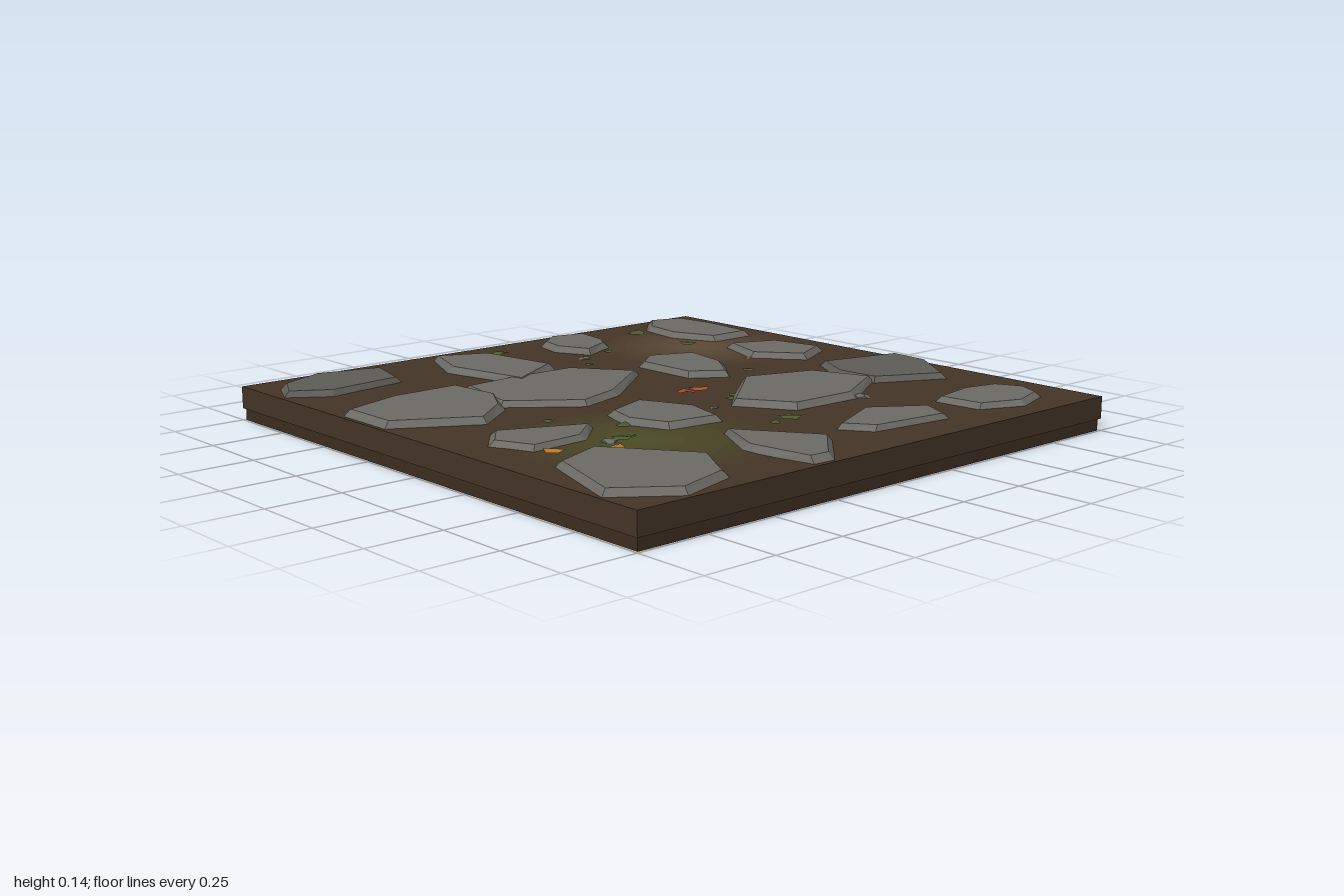
import * as THREE from 'three';

const GROUND = 0.114;

const material = (color, side = THREE.FrontSide) =>
  new THREE.MeshStandardMaterial({ color, side, flatShading: true });

function add(group, name, geometry, mat, x = 0, y = 0, z = 0) {
  const mesh = new THREE.Mesh(geometry, mat);
  mesh.name = name;
  mesh.position.set(x, y, z);
  group.add(mesh);
  return mesh;
}

function fromTriangles(points) {
  const g = new THREE.BufferGeometry();
  g.setAttribute('position', new THREE.Float32BufferAttribute(points.flat(), 3));
  g.computeVertexNormals();
  return g;
}

// Flat-topped stone with a sloping rim; outline is x, z pairs, clockwise from above
function stoneGeometry(outline, top, inset = 0.026) {
  const pts = [];
  for (let i = 0; i < outline.length; i += 2) pts.unshift([outline[i], outline[i + 1]]);
  const n = pts.length;
  const cx = pts.reduce((s, p) => s + p[0], 0) / n;
  const cz = pts.reduce((s, p) => s + p[1], 0) / n;
  const foot = pts.map(([x, z]) => [x, GROUND - 0.004, z]);
  const rim = pts.map(([x, z]) => {
    const k = 1 - inset / Math.hypot(x - cx, z - cz);
    return [cx + (x - cx) * k, top, cz + (z - cz) * k];
  });
  const tris = [];
  for (let i = 0; i < n; i++) {
    const j = (i + 1) % n;
    tris.push(foot[i], foot[j], rim[j], foot[i], rim[j], rim[i]);
    tris.push([cx, top, cz], rim[i], rim[j]);
  }
  return fromTriangles(tris);
}

// Concentric rings that fade from a patch colour into the soil
function addPatch(group, name, x, z, radius, color, soil) {
  const steps = 10;
  for (let i = 0; i < steps; i++) {
    const ring = new THREE.RingGeometry(radius * i / steps, radius * (i + 1) / steps, 32);
    ring.rotateX(-Math.PI / 2);
    const fade = (i + 0.5) / steps;
    const shade = new THREE.Color(color).lerp(new THREE.Color(soil), fade);
    add(group, name, ring, material(shade), x, GROUND + 0.0006, z);
  }
}

export function createModel() {
  const model = new THREE.Group();
  model.name = 'stonePavingTile';
  const soil = 0x443426;

  // Soil slab on a slightly inset base
  add(model, 'soilSlab', new THREE.BoxGeometry(2, GROUND - 0.04, 2), material(soil), 0, (GROUND + 0.04) / 2, 0);
  add(model, 'slabBase', new THREE.BoxGeometry(1.985, 0.04, 1.985), material(0x3c2e21), 0, 0.02, 0);
  addPatch(model, 'mossPatch', -0.5, 0.45, 0.42, 0x4a4e24, soil);
  addPatch(model, 'sandPatch', 0.6, -0.5, 0.38, 0x5e4c38, soil);

  // Paving stones, back row to front row
  const stones = new THREE.Group();
  stones.name = 'pavingStones';
  model.add(stones);
  const stone = (outline, top = 0.135, color = 0x6c6a64) =>
    add(stones, 'pavingStone', stoneGeometry(outline, top), material(color));

  stone([-.74, -.965, -.51, -.89, -.56, -.7, -.86, -.66, -.99, -.75, -.93, -.88], 0.133, 0x5c5b56);
  stone([-.28, -.93, -.1, -.85, -.05, -.52, -.29, -.385, -.37, -.72], 0.136);
  stone([.26, -.955, .4, -.92, .385, -.76, .34, -.69, .2, -.63, .135, -.76, .16, -.88]);
  stone([.76, -.96, .89, -.92, .92, -.76, .89, -.515, .71, -.515, .635, -.68, .66, -.86]);

  stone([-.76, -.485, -.5, -.48, -.475, -.28, -.56, -.13, -.72, -.01, -.99, -.17, -.99, -.4], 0.136);
  stone([-.5, -.45, -.3, -.475, -.03, -.46, .11, -.26, -.16, -.05, -.34, .005, -.56, -.17], 0.133);
  stone([.29, -.44, .46, -.37, .43, -.17, .31, -.02, .19, -.1, .185, -.36]);
  stone([.66, -.41, .84, -.34, .885, -.13, .72, -.05, .585, -.21]);

  stone([-.8, .1, -.505, .235, -.62, .345, -.83, .355, -.89, .21], 0.132);
  stone([-.2, .08, -.11, .27, -.16, .44, -.36, .415, -.42, .27, -.38, .14]);
  stone([.29, .05, .55, .14, .625, .35, .38, .495, .115, .485, 0, .3, .13, .18], 0.136);
  stone([.68, .04, .995, .12, .99, .28, .84, .49, .6, .37, .585, .2], 0.133, 0x5c5b56);

  stone([-.7, .45, -.49, .74, -.6, .93, -.81, .99, -.995, .85, -.89, .52]);
  stone([-.27, .55, -.08, .82, -.25, .99, -.33, .985, -.37, .8, -.37, .73]);
  stone([.26, .62, .445, .755, .39, .875, .08, .84, .015, .74], 0.132);
  stone([.71, .645, .85, .68, .895, .78, .85, .875, .7, .925, .545, .86, .53, .69], 0.132);

  // Small folded leaves: two quads meeting at a raised spine
  const litter = new THREE.Group();
  litter.name = 'groundLitter';
  model.add(litter);
  const spine = [[0, .1, -1], [0, .25, .85]];
  const leafShape = fromTriangles([-1, 1].flatMap((s) => {
    const a = [s * .75, 0, -.35], b = [s * .6, .05, .6];
    return [spine[0], a, b, spine[0], b, spine[1]];
  }));
  const leaf = (name, color, x, z, size, turn) => {
    const mesh = add(litter, name, leafShape, material(color, THREE.DoubleSide), x, GROUND + 0.003, z);
    mesh.scale.setScalar(size);
    mesh.rotation.y = turn;
  };
  leaf('orangeLeaf', 0xb8742c, -.78, .39, .04, .4);
  leaf('orangeLeaf', 0xb8742c, -.63, .48, .034, 1.9);
  leaf('orangeLeaf', 0xb8742c, .58, -.21, .015, .8);
  leaf('redLeaf', 0xa8502a, .03, .06, .04, -.6);
  leaf('redLeaf', 0xa8502a, .095, .055, .038, .7);

  // Green sprigs: x, z, size
  [[-.03, -.86, .04], [.59, -.83, .042], [.6, -.555, .034], [.08, -.495, .02],
    [.28, -.63, .02], [.43, -.06, .026], [-.56, .09, .026], [-.43, .28, .028],
    [-.54, .4, .034], [-.5, .405, .02], [-.06, .56, .022], [.02, .54, .042],
    [.12, .2, .026], [.07, .23, .02],
  ].forEach(([x, z, size], i) => {
    leaf('greenSprig', 0x4c5c2c, x, z, size, i * 2.1);
    leaf('greenSprig', 0x566a30, x + size * .3, z - size * .3, size * .6, i * 2.1 + 1.3);
  });

  // Pebbles
  [[.145, -.6, .022], [-.585, .4, .026], [.41, .485, .03], [-.05, .28, .014]].forEach(([x, z, size], i) => {
    const pebble = add(litter, 'pebble', new THREE.DodecahedronGeometry(size), material(0x6c6a64), x, GROUND, z);
    pebble.scale.y = 0.4;
    pebble.rotation.y = i;
  });

  return model;
}
